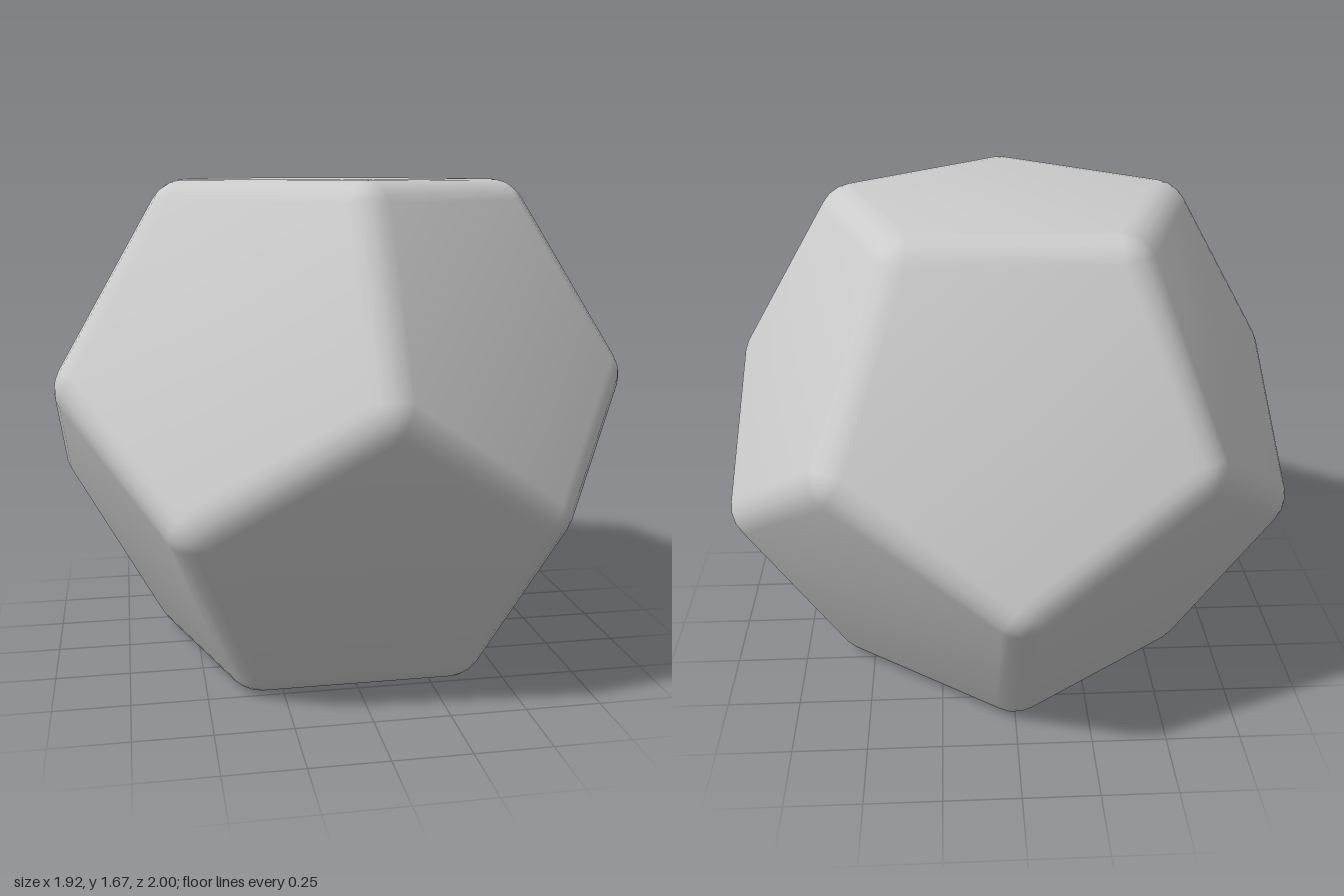
import * as THREE from 'three';
import { mergeVertices } from 'three/addons/utils/BufferGeometryUtils.js';

const R = 0.8335;   // centre to flat face
const ROUND = 0.125; // edge rounding radius
const STEPS = 4;    // segments across each rounded edge

// Rounded dodecahedron: 12 flat pentagons, 30 cylindrical edges, 20 spherical corners
function roundedDodecahedron() {
  const positions = [], normals = [];

  // Face directions, in opposite pairs
  const faces = [new THREE.Vector3(0, 1, 0)];
  const lift = Math.atan(0.5);
  for (let i = 0; i < 5; i++) {
    const a = i * Math.PI * 0.4;
    faces.push(new THREE.Vector3(Math.sin(a) * Math.cos(lift), Math.sin(lift), -Math.cos(a) * Math.cos(lift)));
  }
  faces.push(...faces.map((f) => f.clone().negate()));
  const adjacent = (a, b) => faces[a].dot(faces[b]) > 0.4 && a !== b;

  // Add a triangle of {p, n} points, always facing outward
  const triangle = (a, b, c) => {
    const cross = b.p.clone().sub(a.p).cross(c.p.clone().sub(a.p));
    const outward = cross.dot(a.p.clone().add(b.p).add(c.p)) > 0;
    for (const v of outward ? [a, b, c] : [a, c, b]) {
      positions.push(...v.p.toArray());
      normals.push(...v.n.toArray());
    }
  };

  // Point on the rounding sphere of a corner, in a blend of face directions;
  // normals at the flat-face corners lean softly towards the corner
  const point = (corner, ids, weights) => {
    const d = new THREE.Vector3();
    ids.forEach((id, i) => d.addScaledVector(faces[id], weights[i]));
    d.normalize();
    const n = d.clone();
    if (weights.filter((w) => w > 0).length === 1) n.addScaledVector(corner.dir, 0.18).normalize();
    return { p: corner.centre.clone().addScaledVector(d, ROUND), n };
  };

  // Corners where three faces meet
  const corners = [];
  for (let a = 0; a < 12; a++) for (let b = a + 1; b < 12; b++) for (let c = b + 1; c < 12; c++) {
    if (!adjacent(a, b) || !adjacent(b, c) || !adjacent(a, c)) continue;
    const dir = faces[a].clone().add(faces[b]).add(faces[c]).normalize();
    const centre = dir.clone().multiplyScalar((R - ROUND) / dir.dot(faces[a]));
    corners.push({ ids: [a, b, c], dir, centre });
  }

  // Spherical corner patches
  for (const corner of corners) {
    const at = (i, j) => point(corner, corner.ids, [STEPS - i - j, i, j]);
    for (let i = 0; i < STEPS; i++) for (let j = 0; j < STEPS - i; j++) {
      triangle(at(i, j), at(i + 1, j), at(i, j + 1));
      if (i + j < STEPS - 1) triangle(at(i + 1, j), at(i + 1, j + 1), at(i, j + 1));
    }
  }

  // Rounded edges, and the slice of flat face on each side of them
  for (let a = 0; a < 12; a++) for (let b = a + 1; b < 12; b++) {
    if (!adjacent(a, b)) continue;
    const [p, q] = corners.filter((c) => c.ids.includes(a) && c.ids.includes(b));
    const at = (corner, i) => point(corner, [a, b], [STEPS - i, i]);
    for (let i = 0; i < STEPS; i++) {
      triangle(at(p, i), at(q, i), at(q, i + 1));
      triangle(at(p, i), at(q, i + 1), at(p, i + 1));
    }
    for (const [id, i] of [[a, 0], [b, STEPS]]) {
      const middle = { p: faces[id].clone().multiplyScalar(R), n: faces[id] };
      triangle(middle, at(p, i), at(q, i));
    }
  }

  const geometry = new THREE.BufferGeometry();
  geometry.setAttribute('position', new THREE.Float32BufferAttribute(positions, 3));
  geometry.setAttribute('normal', new THREE.Float32BufferAttribute(normals, 3));
  return mergeVertices(geometry, 1e-4);
}

export function createModel() {
  const group = new THREE.Group();
  group.name = 'roundedDodecahedron';
  const body = new THREE.Mesh(roundedDodecahedron(), new THREE.MeshStandardMaterial({ color: 0xcccccc }));
  body.name = 'body';
  body.position.y = R;
  group.add(body);
  return group;
}
